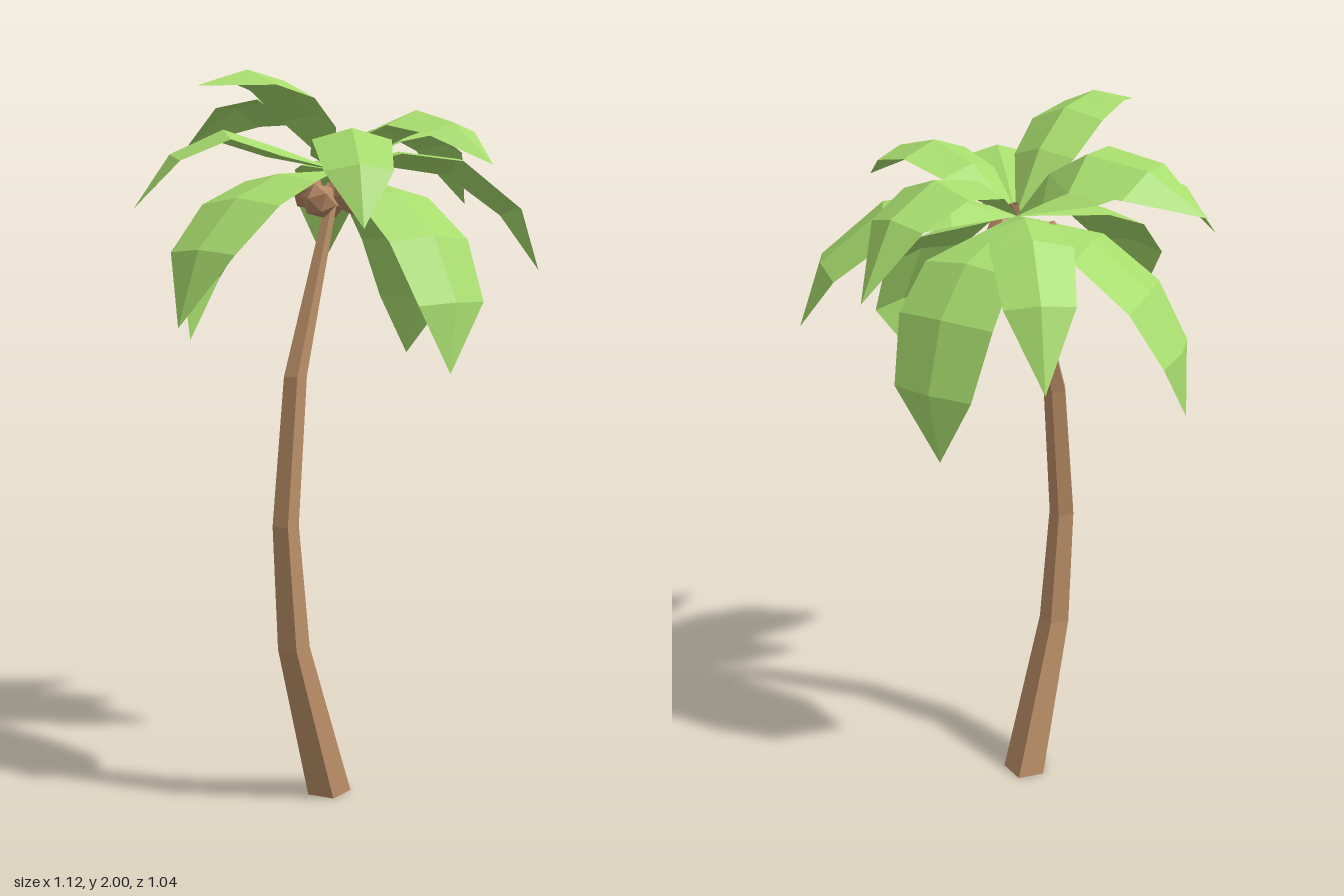
import * as THREE from 'three';

const bark = new THREE.MeshStandardMaterial({ name: 'bark brown', color: 0xbd9169, flatShading: true, side: THREE.DoubleSide });
const husk = new THREE.MeshStandardMaterial({ name: 'coconut brown', color: 0xb68a66, flatShading: true });
const leaf = new THREE.MeshStandardMaterial({ name: 'leaf green', color: 0xa7dc6d, flatShading: true, side: THREE.DoubleSide });

const CROWN = new THREE.Vector3(0.04, 1.76, -0.015);

// Five-sided open trunk: a cylinder whose rings are shifted and scaled along a bend
function makeTrunk() {
  // x centre, height, radius, from the ground up
  const rings = [[-0.01, 0, 0.066], [-0.16, 0.47, 0.047], [-0.19, 0.82, 0.038], [-0.147, 1.22, 0.033], [0.042, 1.79, 0.013]];
  const geo = new THREE.CylinderGeometry(1, 1, 1, 5, rings.length - 1, true, Math.PI);
  const p = geo.attributes.position;
  for (let i = 0; i < p.count; i++) {
    const [cx, y, r] = rings[Math.round((p.getY(i) + 0.5) * (rings.length - 1))];
    p.setXYZ(i, cx + p.getX(i) * r, y, p.getZ(i) * r - 0.008);
  }
  geo.computeVertexNormals();
  const mesh = new THREE.Mesh(geo, bark);
  mesh.name = 'trunk';
  return mesh;
}

// Roof-shaped frond: a ridge from the crown to the tip, bowed sideways by bend,
// rolled about its length, with both edges folded down
function makeFrond([tip, stations, bend, roll], widths, fold) {
  const end = new THREE.Vector3(...tip);
  const flat = end.clone().sub(CROWN).setY(0).normalize();
  const side = new THREE.Vector3(flat.z, 0, -flat.x);
  const bow = [0.7, 1, 1];
  const ridge = [
    CROWN,
    ...stations.map(([f, y], i) => CROWN.clone().lerp(end, f).setY(y).addScaledVector(side, bend * bow[i])),
    end,
  ];
  const halfWidths = [0.004, ...widths, 0];
  const folds = [0, 0.9, 1, 0.8, 0];
  const rows = ridge.map((c, i) => {
    const along = ridge[Math.min(i + 1, 4)].clone().sub(ridge[Math.max(i - 1, 0)]);
    const normal = new THREE.Vector3().crossVectors(along, side).normalize();
    if (normal.y < 0) normal.negate();
    const edge = (s) => c.clone()
      .addScaledVector(side, s * halfWidths[i])
      .addScaledVector(normal, s * roll * halfWidths[i] - fold * folds[i]);
    return [edge(1), c, edge(-1)];
  });
  const pts = [];
  for (let i = 0; i < 4; i++) {
    for (let j = 0; j < 2; j++) {
      const a = rows[i][j], b = rows[i][j + 1], c = rows[i + 1][j + 1], d = rows[i + 1][j];
      if (i === 3) pts.push(a, b, c);
      else pts.push(a, b, c, a, c, d);
    }
  }
  const geo = new THREE.BufferGeometry().setFromPoints(pts);
  geo.computeVertexNormals();
  return new THREE.Mesh(geo, leaf);
}

// Each frond: tip, ridge stations as [fraction of reach, height], sideways bend, roll
const TIERS = [
  { name: 'upperFrond', widths: [0.098, 0.112, 0.092], fold: 0.035, fronds: [
    [[0.56, 1.665, 0.045], [[0.23, 1.87], [0.5, 1.9], [0.77, 1.835]], -0.02, 0.06],
    [[-0.5, 1.955, -0.005], [[0.23, 1.9], [0.46, 1.98], [0.72, 2.0]], 0.027, -0.13],
    [[-0.01, 1.77, 0.52], [[0.26, 1.87], [0.5, 1.91], [0.74, 1.875]], 0.016, 0.05],
    [[-0.02, 1.83, -0.525], [[0.215, 1.89], [0.43, 1.955], [0.74, 1.935]], -0.052, 0.27],
  ] },
  { name: 'middleFrond', widths: [0.09, 0.1, 0.085], fold: 0.028, fronds: [
    [[0.408, 1.49, -0.37], [[0.3, 1.8], [0.57, 1.79], [0.85, 1.68]], 0, 0],
    [[0.422, 1.49, 0.39], [[0.3, 1.81], [0.6, 1.79], [0.89, 1.66]], 0.01, -0.2],
    [[-0.41, 1.66, -0.335], [[0.3, 1.82], [0.56, 1.865], [0.82, 1.8]], -0.014, 0],
    [[-0.34, 1.62, 0.38], [[0.3, 1.82], [0.58, 1.86], [0.85, 1.77]], 0, 0],
  ] },
  { name: 'lowerFrond', widths: [0.125, 0.135, 0.112], fold: 0.022, fronds: [
    [[-0.563, 1.378, -0.02], [[0.38, 1.75], [0.64, 1.69], [0.87, 1.565]], -0.006, 0],
    [[0.413, 1.23, -0.055], [[0.54, 1.69], [0.81, 1.575], [0.98, 1.4]], -0.034, 0],
    [[-0.053, 1.252, 0.432], [[0.47, 1.705], [0.78, 1.595], [0.97, 1.43]], 0.03, 0],
    [[-0.09, 1.28, -0.457], [[0.44, 1.72], [0.78, 1.61], [0.97, 1.46]], -0.02, 0],
  ] },
];

export function createModel() {
  const model = new THREE.Group();
  model.name = 'palmTree';
  model.add(makeTrunk());

  const crown = new THREE.Group();
  crown.name = 'crown';
  for (const { name, widths, fold, fronds } of TIERS) {
    fronds.forEach((spec, i) => {
      const frond = makeFrond(spec, widths, fold);
      frond.name = `${name}${i + 1}`;
      crown.add(frond);
    });
  }
  model.add(crown);

  // Ring of coconuts hanging just below the crown
  const coconuts = new THREE.Group();
  coconuts.name = 'coconuts';
  const nut = new THREE.IcosahedronGeometry(0.048, 0);
  for (let i = 0; i < 5; i++) {
    const a = 0.5 + (i / 5) * Math.PI * 2;
    const mesh = new THREE.Mesh(nut, husk);
    mesh.name = `coconut${i + 1}`;
    mesh.position.set(0.022 + Math.cos(a) * 0.068, 1.68 + (i % 2) * 0.02, -0.015 + Math.sin(a) * 0.068);
    mesh.rotation.set(i * 0.9, a, i * 0.5);
    coconuts.add(mesh);
  }
  model.add(coconuts);
  return model;
}
